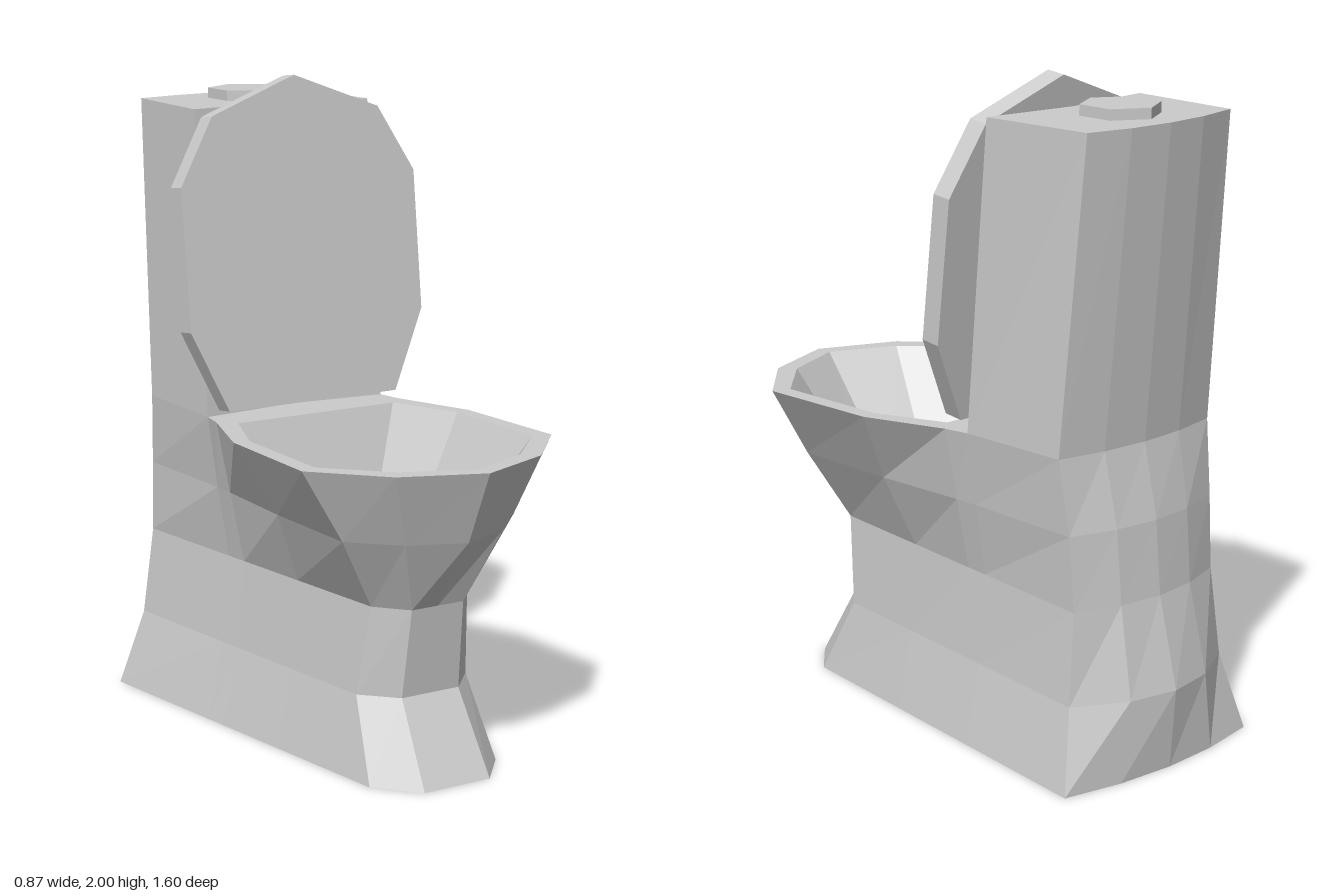
import * as THREE from 'three';

const material = new THREE.MeshStandardMaterial({ color: 0xcccccc, flatShading: true });

// Mirrors a half outline of [x, z] points (front centre to back) onto the -x side
function mirror(half) {
  const other = half.filter(([x]) => x > 0).map(([x, z]) => [-x, z]).reverse();
  return [...half, ...other];
}

// Skin through closed rings { y, pts }; rising rings face outwards, falling rings inwards
function loft(rings) {
  const pos = [];
  for (let r = 0; r + 1 < rings.length; r++) {
    const lo = rings[r], hi = rings[r + 1], n = lo.pts.length;
    for (let i = 0; i < n; i++) {
      const j = (i + 1) % n;
      const at = (ring, k) => [ring.pts[k][0], ring.y, ring.pts[k][1]];
      const a = at(lo, i), b = at(lo, j), c = at(hi, j), d = at(hi, i);
      pos.push(...a, ...b, ...c, ...a, ...c, ...d);
    }
  }
  const geo = new THREE.BufferGeometry();
  geo.setAttribute('position', new THREE.Float32BufferAttribute(pos, 3));
  geo.computeVertexNormals();
  return geo;
}

// Flat face filling an outline at height y, optionally with a hole
function cap(pts, y, up = true, hole = null) {
  const s = up ? -1 : 1;
  const to2 = (list) => list.map(([x, z]) => new THREE.Vector2(x, s * z));
  const shape = new THREE.Shape(to2(pts));
  if (hole) shape.holes.push(new THREE.Path(to2(hole)));
  const geo = new THREE.ShapeGeometry(shape);
  geo.rotateX(s * Math.PI / 2);
  geo.translate(0, y, 0);
  return geo;
}

// Pedestal ring: flat nose, straight flaring sides, gently bowed back
function pedestalRing(y, noseX, noseZ, corner, back, backZ) {
  const side = [0.1, -0.17, -0.25].map((z) => {
    const t = (z - corner[1]) / (back[1] - corner[1]);
    return [corner[0] + t * (back[0] - corner[0]), z];
  });
  return { y, pts: mirror([[0, noseZ], [noseX, noseZ], corner, ...side, ...bowedBack(back, backZ)]) };
}

function bowedBack(back, backZ) {
  return [back, [back[0] / 2, back[1] + 0.75 * (backZ - back[1])], [0, backZ]];
}

export function createModel() {
  const group = new THREE.Group();
  const add = (parent, name, geo) => {
    const mesh = new THREE.Mesh(geo, material);
    mesh.name = name;
    parent.add(mesh);
    return mesh;
  };
  const part = (name) => {
    const g = new THREE.Group();
    g.name = name;
    group.add(g);
    return g;
  };

  // Pedestal
  const foot = pedestalRing(0, 0.115, 0.655, [0.225, 0.53], [0.385, -0.73], -0.78);
  const waist = pedestalRing(0.245, 0.1, 0.51, [0.195, 0.41], [0.32, -0.68], -0.8);
  const neck = pedestalRing(0.52, 0.09, 0.545, [0.17, 0.45], [0.29, -0.665], -0.73);
  const pedestal = part('pedestal');
  add(pedestal, 'pedestalWall', loft([foot, waist, neck]));
  add(pedestal, 'pedestalBase', cap(foot.pts, 0, false));

  // Bowl outside, running back under the tank
  const middle = {
    y: 0.745,
    pts: mirror([[0, 0.7], [0.17, 0.63], [0.3, 0.5], [0.3, 0.14], [0.285, -0.17], [0.283, -0.25],
      ...bowedBack([0.295, -0.65], -0.71)]),
  };
  const rimHalf = [[0, 0.8], [0.25, 0.7], [0.435, 0.5], [0.42, 0.09], [0.33, -0.17], [0.315, -0.25]];
  const rim = { y: 0.97, pts: mirror([...rimHalf, ...bowedBack([0.31, -0.62], -0.66)]) };
  const bowl = part('bowl');
  add(bowl, 'bowlOutside', loft([neck, middle, rim]));

  // Bowl inside: opening, basin edge and floor
  const opening = mirror([[0, 0.745], [0.21, 0.655], [0.38, 0.48], [0.37, 0.1], [0.28, -0.125]]);
  const basin = mirror([[0, 0.45], [0.12, 0.4], [0.19, 0.31], [0.185, 0.13], [0.13, -0.01]]);
  const floor = mirror([[0, 0.385], [0.11, 0.35], [0.165, 0.27], [0.165, 0.1], [0.125, 0]]);
  add(bowl, 'bowlInside', loft([{ y: 0.97, pts: opening }, { y: 0.6, pts: basin }, { y: 0.55, pts: floor }]));
  add(bowl, 'bowlFloor', cap(floor, 0.55));
  add(bowl, 'rim', cap(mirror([...rimHalf, [0.31, -0.35]]), 0.97, true, opening));

  // Tank with a slightly hollow front and bowed back
  const tankRing = (y, frontMid, front, back, backZ) => ({
    y, pts: mirror([[0, frontMid], front, ...bowedBack(back, backZ)]),
  });
  const tankTop = tankRing(1.905, -0.36, [0.31, -0.325], [0.29, -0.7], -0.74);
  const tank = part('tank');
  add(tank, 'tankWall', loft([tankRing(0.97, -0.285, [0.315, -0.25], [0.31, -0.62], -0.66), tankTop]));
  add(tank, 'tankTop', cap(tankTop.pts, 1.905));

  // Flush button
  const button = add(group, 'flushButton', new THREE.CylinderGeometry(0.12, 0.12, 0.04, 6));
  button.position.set(0, 1.917, -0.545);

  // Raised lid leaning back towards the tank
  const outline = mirror([[0, 1], [0.295, 0.89], [0.415, 0.685], [0.415, 0.25], [0.3, 0]]);
  const lidShape = new THREE.Shape(outline.map(([x, y]) => new THREE.Vector2(x, y)));
  const lid = add(group, 'lid', new THREE.ExtrudeGeometry(lidShape, { depth: 0.065, bevelEnabled: false }));
  lid.position.set(0, 0.998, -0.205);
  lid.rotation.x = -0.115;

  return group;
}
